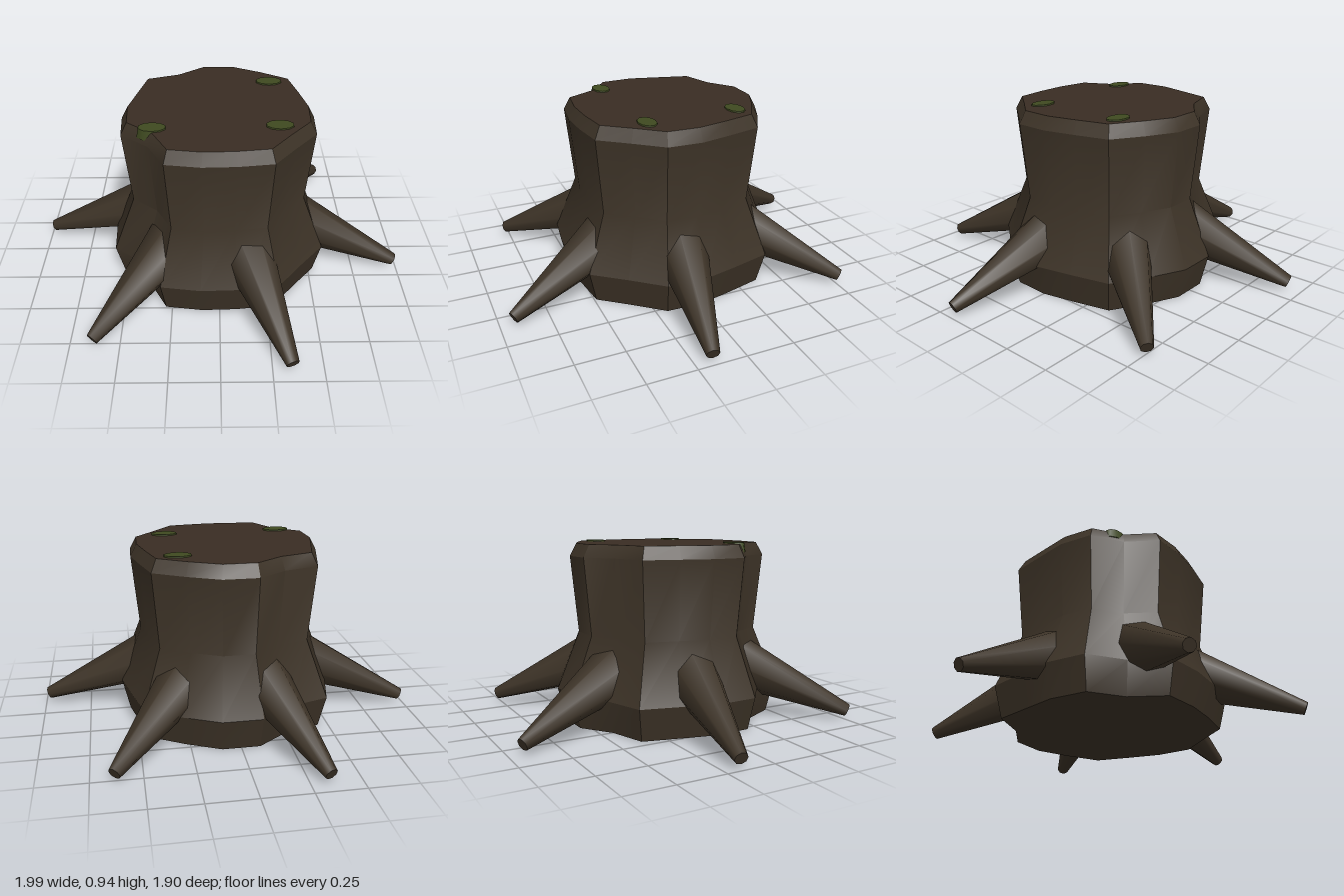
import * as THREE from 'three';
import { toCreasedNormals } from 'three/addons/utils/BufferGeometryUtils.js';

const bark = new THREE.MeshStandardMaterial({ name: 'bark', color: 0x3d3327 });
const cutWood = new THREE.MeshStandardMaterial({ name: 'cutWood', color: 0x3a2d23 });
const moss = new THREE.MeshStandardMaterial({ name: 'moss', color: 0x3f4a20 });

// Uneven trunk radius, one value every 20 degrees from +x towards +z
const RADII = [0.57, 0.6, 0.564, 0.607, 0.56, 0.566, 0.609, 0.526, 0.604,
  0.58, 0.566, 0.625, 0.54, 0.597, 0.598, 0.58, 0.617, 0.56];
// Height and scale of each trunk ring: foot, flare, waist, shoulder, rim
const RINGS = [[0, 0.93], [0.17, 1], [0.47, 0.8], [0.87, 0.868], [0.935, 0.81]];
const N = RADII.length;

function ringPoint(i, [y, s]) {
  const a = (i / N) * Math.PI * 2;
  return [Math.cos(a) * RADII[i] * s, y, Math.sin(a) * RADII[i] * s];
}

function build(points, index) {
  const g = new THREE.BufferGeometry();
  g.setAttribute('position', new THREE.Float32BufferAttribute(points.flat(), 3));
  g.setIndex(index);
  return toCreasedNormals(g, 0.55);
}

function trunkGeometry() {
  const points = [], index = [];
  RINGS.forEach(r => { for (let i = 0; i < N; i++) points.push(ringPoint(i, r)); });
  points.push([0, 0, 0]);
  const centre = points.length - 1;
  for (let i = 0; i < N; i++) {
    const j = (i + 1) % N;
    for (let k = 0; k < RINGS.length - 1; k++) {
      const lo = k * N, up = lo + N;
      index.push(lo + i, up + i, lo + j, lo + j, up + i, up + j);
    }
    index.push(centre, i, j);
  }
  return build(points, index);
}

function cutTopGeometry() {
  const rim = RINGS[RINGS.length - 1];
  const points = [[0, rim[0], 0]], index = [];
  for (let i = 0; i < N; i++) {
    points.push(ringPoint(i, rim));
    index.push(0, 1 + (i + 1) % N, 1 + i);
  }
  return build(points, index);
}

export function createModel() {
  const model = new THREE.Group();
  model.name = 'treeStump';
  const add = (name, geometry, material) => {
    const mesh = new THREE.Mesh(geometry, material);
    mesh.name = name;
    model.add(mesh);
    return mesh;
  };

  add('trunk', trunkGeometry(), bark);
  add('cutTop', cutTopGeometry(), cutWood);

  // Six tapered roots sloping down and outwards
  const up = new THREE.Vector3(0, 1, 0);
  for (let i = 0; i < 6; i++) {
    const a = THREE.MathUtils.degToRad(9.7 + i * 60);
    const at = (r, y) => new THREE.Vector3(Math.cos(a) * r, y, Math.sin(a) * r);
    const start = at(0.4, 0.29), tip = at(0.995, 0.047);
    const along = tip.clone().sub(start);
    const geometry = toCreasedNormals(
      new THREE.CylinderGeometry(0.033, 0.142, along.length(), 8), 0.9);
    const root = add('root' + (i + 1), geometry, bark);
    root.position.copy(start).add(tip).multiplyScalar(0.5);
    root.quaternion.setFromUnitVectors(up, along.normalize());
  }

  // Moss patches sunk into the top
  [[0.275, -0.285], [-0.33, 0.225], [0.3, 0.205]].forEach(([x, z], i) => {
    const patch = add('mossPatch' + (i + 1),
      new THREE.CylinderGeometry(0.07, 0.08, 0.05, 10), moss);
    patch.scale.z = 0.65;
    patch.position.set(x, 0.917, z);
  });

  return model;
}
